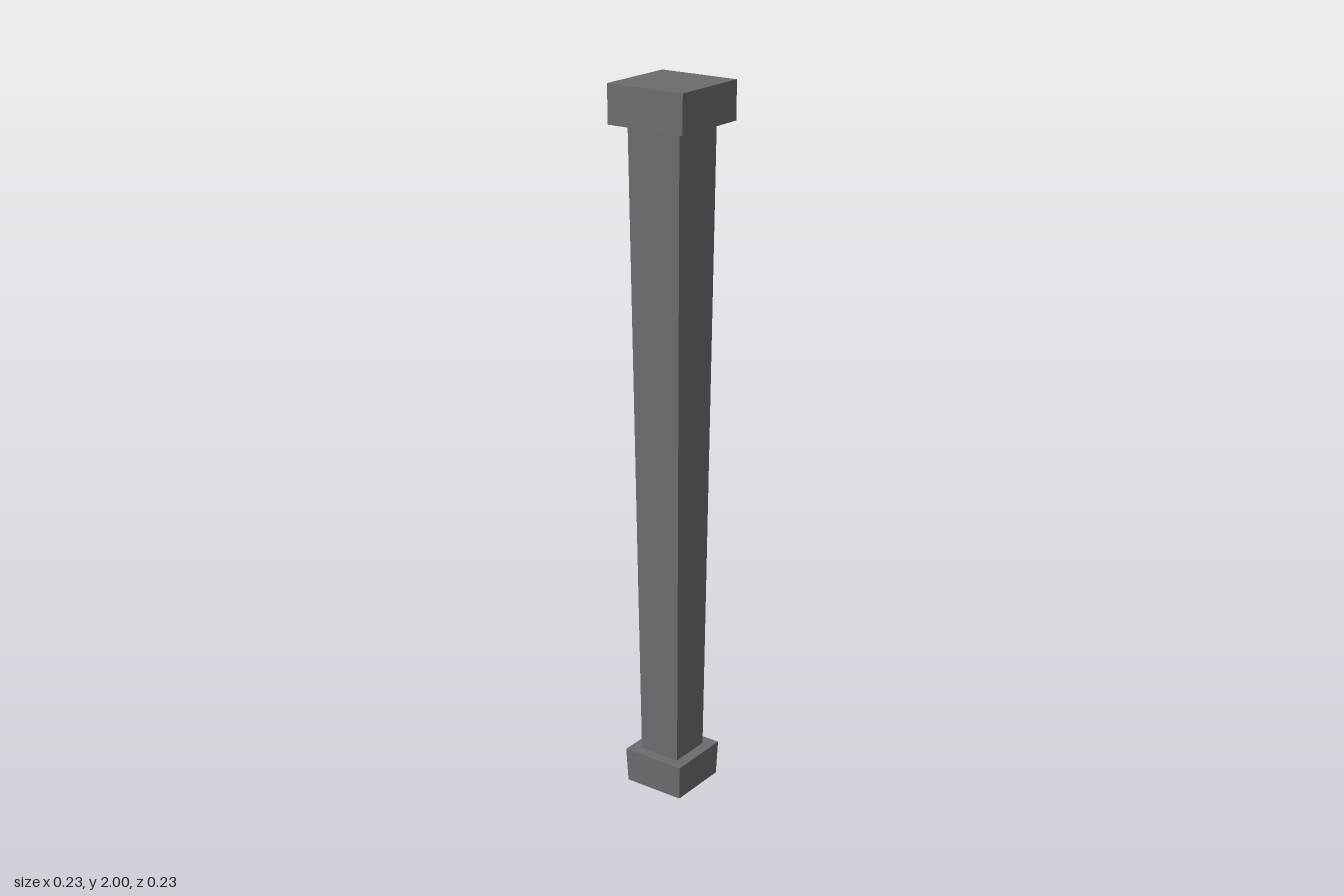
import * as THREE from 'three';

const stone = new THREE.MeshStandardMaterial({ color: 0x6a6c70, side: THREE.DoubleSide });
stone.name = 'dark grey';

// Square shell from a bottom-to-top profile of [half width, height]
function squareShell(name, profile) {
  const points = profile.map(([half, y]) => new THREE.Vector2(half * Math.SQRT2, y));
  const geometry = new THREE.LatheGeometry(points, 4, Math.PI / 4).toNonIndexed();
  geometry.computeVertexNormals();
  const mesh = new THREE.Mesh(geometry, stone);
  mesh.name = name;
  return mesh;
}

export function createModel() {
  const model = new THREE.Group();
  model.name = 'pillar';

  // Hollow plinth, open underneath, with a flat ledge around the shaft
  model.add(squareShell('base', [[0.09, 0], [0.094, 0.1], [0.062, 0.1]]));

  // Shaft, widening slightly towards the top
  model.add(squareShell('shaft', [[0.062, 0.1], [0.081, 1.895]]));

  // Square cap block
  const cap = new THREE.Mesh(new THREE.BoxGeometry(0.234, 0.105, 0.234), stone);
  cap.name = 'cap';
  cap.position.y = 1.9475;
  model.add(cap);

  return model;
}
